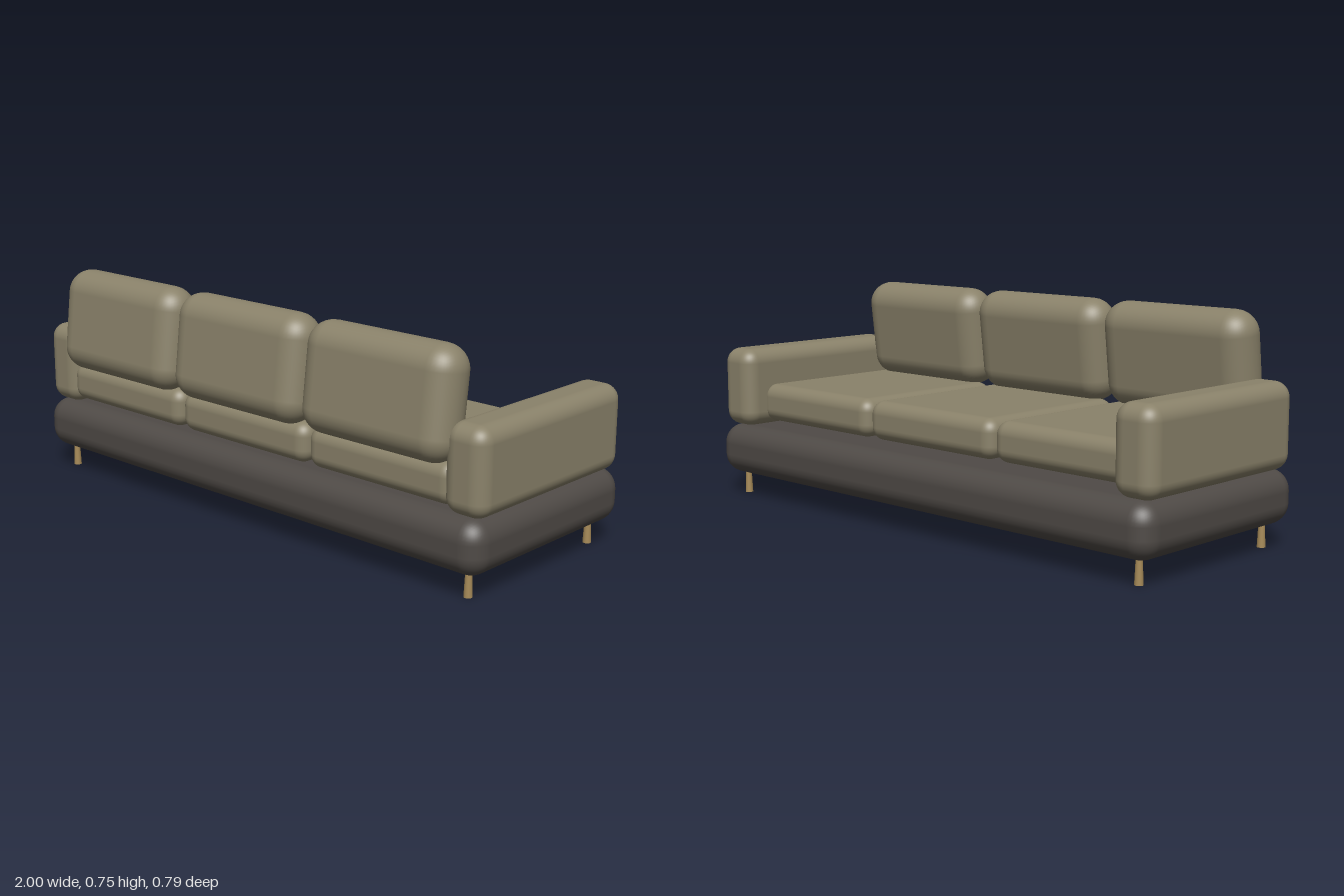
import * as THREE from 'three';
import { RoundedBoxGeometry } from 'three/addons/geometries/RoundedBoxGeometry.js';

const material = (name, color) => {
  const m = new THREE.MeshStandardMaterial({ color });
  m.name = name;
  return m;
};

export function createModel() {
  const sofa = new THREE.Group();
  sofa.name = 'sofa';
  const fabric = material('olive fabric', 0x8a826a);
  const dark = material('charcoal fabric', 0x4f4a46);
  const wood = material('light wood', 0xa68a58);

  // Soft block given by its size, corner radius and centre
  const block = (name, mat, [w, h, d], radius, [x, y, z]) => {
    const mesh = new THREE.Mesh(new RoundedBoxGeometry(w, h, d, 5, radius), mat);
    mesh.name = name;
    mesh.position.set(x, y, z);
    sofa.add(mesh);
    return mesh;
  };

  // Upholstered platform, deeper at the front than the seats
  block('base', dark, [2, 0.18, 0.77], 0.07, [0, 0.167, -0.012]);

  // Arms and tapered legs, mirrored left and right
  for (const side of [1, -1]) {
    const label = side > 0 ? 'left' : 'right';
    block(label + 'Arm', fabric, [0.155, 0.282, 0.725], 0.052, [side * 0.921, 0.395, -0.012]);
    for (const z of [0.298, -0.322]) {
      const leg = new THREE.Mesh(new THREE.CylinderGeometry(0.01, 0.014, 0.09, 16), wood);
      leg.name = label + (z > 0 ? 'BackLeg' : 'FrontLeg');
      leg.position.set(side * 0.92, 0.045, z);
      sofa.add(leg);
    }
  }

  // Three seat cushions, each with a leaning back cushion
  for (let i = -1; i <= 1; i++) {
    const x = i * 0.587;
    block('seatCushion', fabric, [0.583, 0.135, 0.63], 0.045, [x, 0.337, 0.025]);
    const back = block('backCushion', fabric, [0.585, 0.357, 0.162], 0.08, [x, 0.5725, 0.305]);
    back.rotation.x = -0.12;
  }
  return sofa;
}
